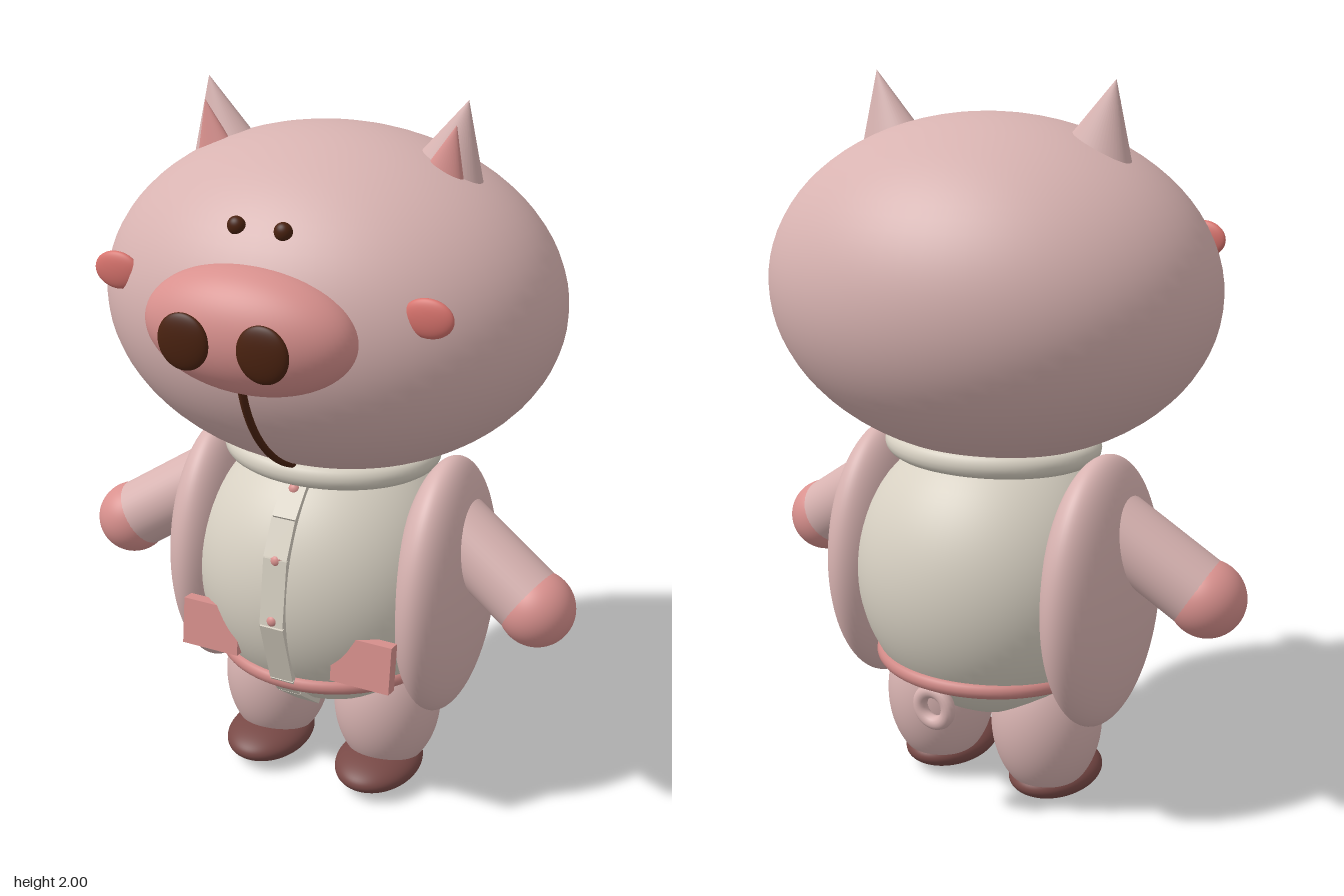
import * as THREE from 'three';

const mat = (name, color, opts = {}) => {
  const m = new THREE.MeshStandardMaterial({ color, ...opts });
  m.name = name;
  return m;
};

export function createModel() {
  const skin = mat('pale pink skin', 0xd8b3b1);
  const pink = mat('rosy pink', 0xd9918e);
  const blush = mat('blush red', 0xd8736d);
  const trim = mat('belt pink', 0xcf8885);
  const cloth = mat('cream cloth', 0xd8d1c3);
  const brown = mat('shoe brown', 0x784946);
  const dark = mat('dark brown', 0x4a2210);

  const root = new THREE.Group();
  root.name = 'pig';

  const add = (name, geo, material, pos = [0, 0, 0], rot = [0, 0, 0], scale = [1, 1, 1]) => {
    const mesh = new THREE.Mesh(geo, material);
    mesh.name = name;
    mesh.position.set(...pos);
    mesh.rotation.set(...rot);
    mesh.scale.set(...scale);
    root.add(mesh);
    return mesh;
  };
  const sphere = new THREE.SphereGeometry(1, 64, 40);
  const ball = (name, material, pos, radii) => add(name, sphere, material, pos, [0, 0, 0], radii);

  // Head and snout
  const HEAD = { y: 1.45, z: -0.05, ry: 0.455, rz: 0.52 };
  ball('head', skin, [0, HEAD.y, HEAD.z], [0.635, HEAD.ry, HEAD.rz]);
  ball('snout', pink, [0, 1.493, 0.41], [0.29, 0.163, 0.143]);

  // Mouth line running down the chin
  const chin = [];
  for (let i = 0; i <= 12; i++) {
    const y = 1.37 - i * 0.0275;
    const k = (y - HEAD.y) / HEAD.ry;
    chin.push(new THREE.Vector3(0, y, HEAD.z + HEAD.rz * Math.sqrt(1 - k * k) + 0.004));
  }
  add('mouth', new THREE.TubeGeometry(new THREE.CatmullRomCurve3(chin), 32, 0.011, 10), dark);

  // Torso with collar and belt
  const BODY = { y: 0.65, z: -0.045, ry: 0.41, rz: 0.36 };
  ball('torso', cloth, [0, BODY.y, BODY.z], [0.39, BODY.ry, BODY.rz]);
  const hoop = (name, material, y, rx, rz, tube) => {
    const geo = new THREE.TorusGeometry(1, tube / rx, 16, 72).rotateX(Math.PI / 2);
    add(name, geo, material, [0, y, -0.045], [0, 0, 0], [rx, rx, rz]);
  };
  hoop('collar', cloth, 1.018, 0.278, 0.233, 0.033);
  hoop('belt', trim, 0.41, 0.312, 0.298, 0.022);

  // Button placket made of flat panels that follow the belly
  const bellyZ = (y) => BODY.z + BODY.rz * Math.sqrt(1 - ((y - BODY.y) / BODY.ry) ** 2);
  const cuts = [0.99, 0.905, 0.81, 0.62, 0.43, 0.37, 0.275];
  for (let i = 0; i < cuts.length - 1; i++) {
    const [y0, y1] = [cuts[i + 1], cuts[i]];
    const [z0, z1] = [bellyZ(y0), bellyZ(y1)];
    const tilt = Math.atan2(z1 - z0, y1 - y0);
    add('placket panel', new THREE.BoxGeometry(0.07, Math.hypot(y1 - y0, z1 - z0), 0.024), cloth,
      [0, (y0 + y1) / 2, (z0 + z1) / 2 + 0.007], [tilt, 0, 0]);
  }
  for (const y of [0.97, 0.805, 0.635]) {
    ball('button', pink, [0, y, bellyZ(y) + 0.008], [0.017, 0.017, 0.014]);
  }

  // Curled tail
  add('tail', new THREE.TorusGeometry(0.046, 0.02, 14, 36), skin, [0, 0.338, -0.337]);

  // Paired parts: side s = +1 is the model's left
  for (const s of [1, -1]) {
    const side = s > 0 ? 'left ' : 'right ';
    ball(side + 'eye', dark, [s * 0.064, 1.732, 0.357], [0.024, 0.024, 0.02]);
    ball(side + 'nostril', dark, [s * 0.108, 1.49, 0.552], [0.07, 0.073, 0.02]);
    ball(side + 'cheek', blush, [s * 0.433, 1.562, 0.33], [0.066, 0.05, 0.018]);

    // Ears: flattened cones leaning outward
    add(side + 'ear', new THREE.ConeGeometry(1, 1, 48).translate(0, 0.5, 0), skin,
      [s * 0.312, 1.79, -0.05], [0, 0, -s * 0.26], [0.11, 0.217, 0.067]);
    add(side + 'inner ear', new THREE.ConeGeometry(1, 1, 40).translate(0, 0.5, 0), pink,
      [s * 0.318, 1.785, -0.005], [0, 0, -s * 0.23], [0.068, 0.165, 0.032]);

    // Jacket side, arm and hand
    ball(side + 'jacket side', skin, [s * 0.35, 0.65, -0.048], [0.115, 0.382, 0.26]);
    const shoulder = new THREE.Vector3(s * 0.36, 0.855, -0.04);
    const wrist = new THREE.Vector3(s * 0.62, 0.685, 0.005);
    const dir = wrist.clone().sub(shoulder);
    const arm = add(side + 'arm', new THREE.CapsuleGeometry(0.1, dir.length(), 12, 40), skin,
      shoulder.clone().add(wrist).multiplyScalar(0.5).toArray());
    arm.quaternion.setFromUnitVectors(new THREE.Vector3(0, 1, 0), dir.normalize());
    ball(side + 'hand', pink, [s * 0.636, 0.675, 0.008], [0.105, 0.105, 0.105]);

    // Pocket
    add(side + 'pocket', new THREE.BoxGeometry(0.175, 0.137, 0.038), pink,
      [s * 0.2325, 0.524, 0.241], [-0.12, 0, 0]);

    // Leg and shoe
    ball(side + 'leg', skin, [s * 0.18, 0.24, -0.045], [0.156, 0.225, 0.156]);
    ball(side + 'shoe', brown, [s * 0.18, 0.056, 0.008], [0.122, 0.056, 0.163]);
  }

  return root;
}
